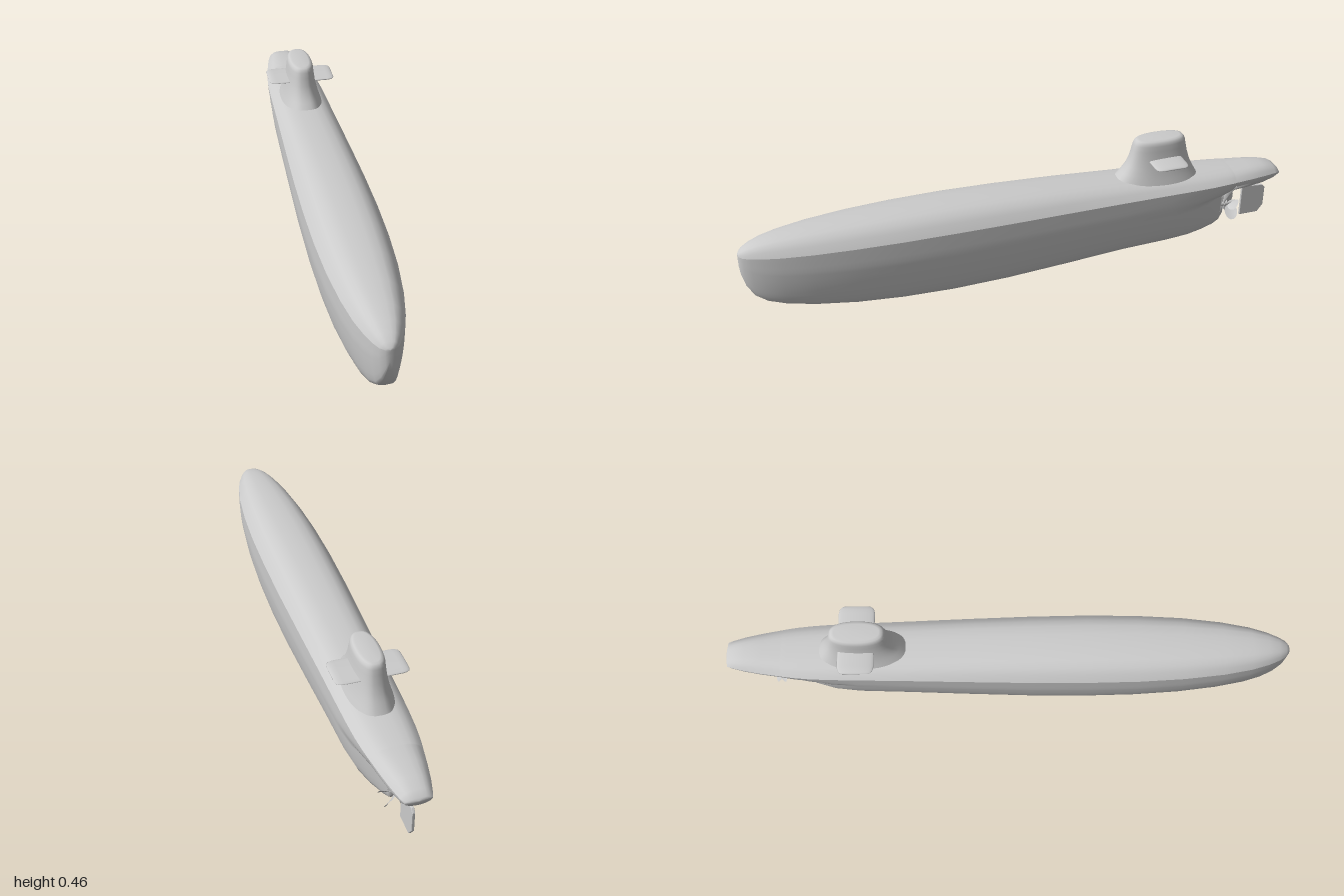
import * as THREE from 'three';
import { mergeVertices } from 'three/addons/utils/BufferGeometryUtils.js';

const grey = new THREE.MeshStandardMaterial({ color: 0xcccccc });
const thin = new THREE.MeshStandardMaterial({ color: 0xcccccc, side: THREE.DoubleSide });

function mesh(name, geometry, material = grey) {
  const m = new THREE.Mesh(geometry, material);
  m.name = name;
  return m;
}

// Skin a smooth surface over rings of [x, y, z] points
function loft(rings) {
  const n = rings[0].length, index = [];
  for (let i = 0; i < rings.length - 1; i++) {
    for (let j = 0; j < n - 1; j++) {
      const a = i * n + j, d = a + n;
      index.push(a, a + 1, d, a + 1, d + 1, d);
    }
  }
  const g = new THREE.BufferGeometry();
  g.setAttribute('position', new THREE.Float32BufferAttribute(rings.flat(2), 3));
  g.setIndex(index);
  const merged = mergeVertices(g, 1e-5);
  merged.computeVertexNormals();
  return merged;
}

// Linear lookup in a list of [key, value]
function lookup(table, t) {
  for (let i = 1; i < table.length; i++) {
    const [k0, v0] = table[i - 1], [k1, v1] = table[i];
    if (t <= k1) return v0 + (v1 - v0) * (t - k0) / (k1 - k0);
  }
  return table[table.length - 1][1];
}

// Hull stations: z, half width, deck top, crease height, keel height, tail pinch (-1 = overhang)
const stations = [
  [1.0, 0, 0.257, 0.256, 0.21, 0],
  [0.997, 0.014, 0.264, 0.256, 0.18, 0],
  [0.985, 0.030, 0.277, 0.257, 0.135, 0],
  [0.96, 0.045, 0.290, 0.259, 0.093, 0],
  [0.92, 0.062, 0.303, 0.262, 0.066, 0],
  [0.86, 0.080, 0.314, 0.265, 0.048, 0],
  [0.76, 0.099, 0.325, 0.269, 0.031, 0],
  [0.62, 0.115, 0.334, 0.273, 0.015, 0],
  [0.46, 0.124, 0.340, 0.275, 0.005, 0],
  [0.28, 0.127, 0.342, 0.276, 0.001, 0],
  [0.08, 0.125, 0.338, 0.275, 0.006, 0],
  [-0.14, 0.119, 0.329, 0.273, 0.019, 0],
  [-0.36, 0.112, 0.315, 0.270, 0.034, 0],
  [-0.54, 0.107, 0.306, 0.267, 0.038, 0.02],
  [-0.63, 0.104, 0.301, 0.265, 0.039, 0.12],
  [-0.70, 0.100, 0.297, 0.263, 0.041, 0.35],
  [-0.75, 0.095, 0.294, 0.262, 0.046, 0.6],
  [-0.78, 0.091, 0.292, 0.261, 0.056, 0.8],
  [-0.798, 0.088, 0.291, 0.260, 0.08, 1],
  [-0.803, 0.087, 0.290, 0.260, 0.194, -1],
  [-0.87, 0.076, 0.288, 0.257, 0.196, -1],
  [-0.93, 0.064, 0.284, 0.254, 0.201, -1],
  [-0.975, 0.052, 0.273, 0.251, 0.213, -1],
  [-0.995, 0.045, 0.259, 0.249, 0.230, -1],
  [-1.0, 0, 0.25, 0.248, 0.242, -1],
];

// Half sections: deck [x, height], side [depth, x]
const deckHalf = [[0, 1], [0.25, 0.985], [0.51, 0.92], [0.7, 0.72], [0.85, 0.45], [1, 0]];
const sideHalf = [[0, 1], [0.27, 1], [0.4, 0.97], [0.53, 0.93], [0.7, 0.86], [0.83, 0.78],
  [0.94, 0.66], [0.985, 0.47], [1, 0]];
const depths = [0, 0.1, 0.2, 0.28, 0.34, 0.43, 0.53, 0.64, 0.74, 0.83, 0.89, 0.94, 0.97, 0.985, 1];

function deckRing([z, w, top, crease]) {
  const right = deckHalf.map(([x, h]) => [w * x, crease + (top - crease) * h, z]);
  return [...right.slice(1).reverse().map(([x, y]) => [-x, y, z]), ...right];
}

function sideRing([z, w, , crease, keel, pinch]) {
  const half = depths.map((t) => {
    const round = Math.sqrt(1 - t * t);
    const shelf = Math.sqrt(Math.max(0, 1 - (t / 0.34) ** 2));
    const f = pinch < 0 ? round : THREE.MathUtils.lerp(lookup(sideHalf, t), shelf, pinch);
    return [w * f, crease + (keel - crease) * t, z];
  });
  return [...half, ...half.slice(0, -1).reverse().map(([x, y]) => [-x, y, z])];
}

// Rounded sail sections: y, half width, front z, back z
function sailRing([y, w, front, back]) {
  const ring = [], mid = (front + back) / 2, len = (front - back) / 2;
  for (let i = 0; i <= 40; i++) {
    const a = i / 40 * Math.PI * 2, c = Math.cos(a), s = Math.sin(a);
    ring.push([w * Math.sign(c) * Math.abs(c) ** 0.75, y, mid - len * Math.sign(s) * Math.abs(s) ** 0.9]);
  }
  return ring;
}

// Diving plane sections: x, chord scale, thickness scale
function planeRing([x, chord, thick]) {
  const ring = [];
  for (let i = 0; i <= 24; i++) {
    const a = i / 24 * Math.PI * 2;
    ring.push([x, 0.385 + 0.008 * thick * Math.cos(a), -0.524 + 0.063 * chord * Math.sin(a)]);
  }
  return ring;
}

// Twisted propeller blade, growing along +y around the z axis
function bladeGeometry() {
  const rings = [];
  for (let i = 0; i <= 8; i++) {
    const t = i / 8, r = 0.006 + 0.059 * t;
    const half = 0.007 + 0.017 * Math.sin(Math.PI * Math.min(1, 0.1 + t * 0.8));
    const pitch = 0.45 + 0.5 * t, ring = [];
    for (let j = 0; j <= 4; j++) {
      const u = (j / 2 - 1) * half * (t === 1 ? 0.6 : 1);
      ring.push([u * Math.sin(pitch), r, u * Math.cos(pitch)]);
    }
    rings.push(ring);
  }
  return loft(rings);
}

export function createModel() {
  const model = new THREE.Group();
  model.name = 'submarine';

  // Hull, with a crisp edge between deck and sides
  model.add(mesh('deck', loft(stations.map(deckRing))));
  model.add(mesh('hullSides', loft(stations.map(sideRing))));

  // Sail with a flared foot and rounded top
  model.add(mesh('sail', loft([
    [0.285, 0.080, -0.335, -0.672], [0.315, 0.070, -0.358, -0.655], [0.335, 0.064, -0.376, -0.644],
    [0.36, 0.058, -0.394, -0.632], [0.39, 0.052, -0.406, -0.623], [0.42, 0.048, -0.413, -0.616],
    [0.44, 0.046, -0.418, -0.612], [0.45, 0.043, -0.422, -0.608], [0.456, 0.038, -0.428, -0.602],
    [0.459, 0.030, -0.438, -0.592], [0.46, 0, -0.515, -0.515],
  ].map(sailRing))));

  // Diving planes through the sail
  const tip = [[0.125, 0, 0], [0.124, 0.72, 0.3], [0.120, 0.86, 0.65], [0.111, 0.96, 0.9], [0.098, 1, 1]];
  const span = [...tip.map(([x, c, t]) => [-x, c, t]), ...tip.slice().reverse()];
  model.add(mesh('divingPlanes', loft(span.map(planeRing))));

  // Propeller on its shaft
  const propeller = new THREE.Group();
  propeller.name = 'propeller';
  propeller.position.set(0, 0.12, -0.825);
  const shaft = mesh('shaft', new THREE.CylinderGeometry(0.008, 0.011, 0.09, 16));
  shaft.rotation.x = -Math.PI / 2;
  shaft.position.z = 0.02;
  propeller.add(shaft);
  const blade = bladeGeometry();
  for (let i = 0; i < 5; i++) {
    const b = mesh('blade', blade, thin);
    b.rotation.z = i / 5 * Math.PI * 2;
    propeller.add(b);
  }
  model.add(propeller);

  // Rudder hung under the stern overhang
  const outline = new THREE.Shape([[0.87, 0.185], [0.955, 0.178], [0.966, 0.165], [0.966, 0.09],
    [0.945, 0.06], [0.87, 0.06]].map(([x, y]) => new THREE.Vector2(x, y)));
  const rudder = new THREE.ExtrudeGeometry(outline, {
    depth: 0.006, bevelThickness: 0.002, bevelSize: 0.002, bevelOffset: -0.002, bevelSegments: 2,
  });
  rudder.translate(0, 0, -0.003).rotateY(Math.PI / 2);
  model.add(mesh('rudder', rudder));
  const stock = mesh('rudderStock', new THREE.CylinderGeometry(0.005, 0.005, 0.04, 12));
  stock.position.set(0, 0.19, -0.89);
  model.add(stock);

  return model;
}
